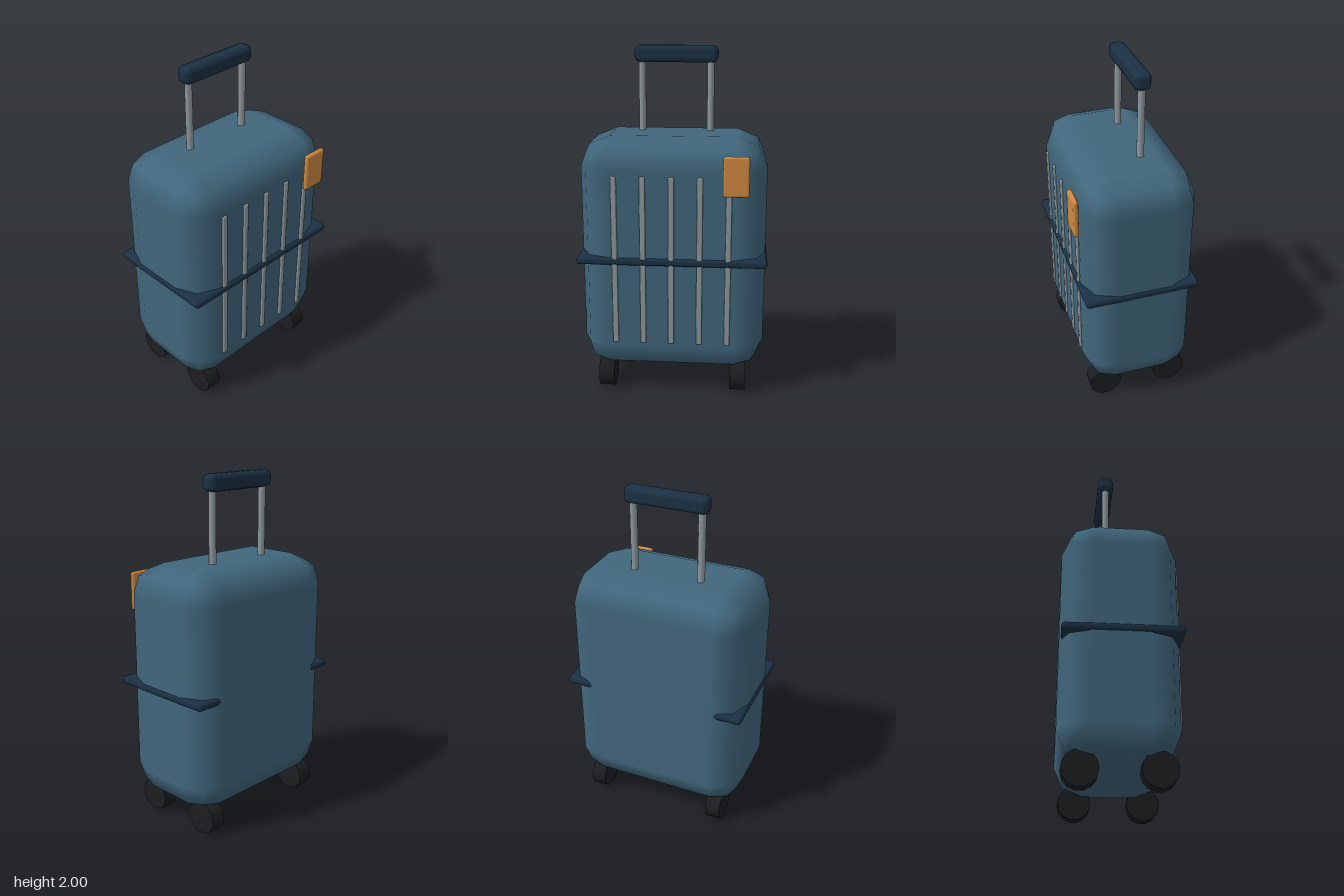
import * as THREE from 'three';

const mat = (color) => new THREE.MeshStandardMaterial({ color });

// Box with every edge rounded by two facets per quarter turn, smooth-shaded
function softBox(w, h, d, r) {
  const geo = new THREE.BoxGeometry(1, 1, 1, 3, 3, 3);
  const pos = geo.attributes.position, nor = geo.attributes.normal;
  const inner = new THREE.Vector3(w / 2 - r, h / 2 - r, d / 2 - r);
  const core = new THREE.Vector3(), dir = new THREE.Vector3();
  for (let i = 0; i < pos.count; i++) {
    const p = [pos.getX(i), pos.getY(i), pos.getZ(i)];
    core.set(...p.map(Math.sign)).multiply(inner);
    dir.set(...p.map((v) => (Math.abs(v) > 0.4 ? Math.sign(v) : 0))).normalize();
    nor.setXYZ(i, dir.x, dir.y, dir.z);
    core.addScaledVector(dir, r);
    pos.setXYZ(i, core.x, core.y, core.z);
  }
  return geo;
}

export function createModel() {
  const model = new THREE.Group();
  model.name = 'suitcase';
  const blue = mat(0x41677d), navy = mat(0x1b3144), metal = mat(0x8e999e);
  const orange = mat(0xd08a40), rubber = mat(0x1b1e20);

  const add = (name, geo, material, x, y, z) => {
    const mesh = new THREE.Mesh(geo, material);
    mesh.name = name;
    mesh.position.set(x, y, z);
    model.add(mesh);
    return mesh;
  };

  // Shell and the strap around it
  add('shell', softBox(1.06, 1.376, 0.65, 0.17), blue, 0, 0.825, -0.029);
  add('strap', softBox(1.08, 0.044, 0.658, 0.018), navy, 0, 0.823, -0.016);

  // Front ribs
  for (let i = -2; i <= 2; i++) {
    add('rib', softBox(0.033, 0.985, 0.018, 0.008), metal, i * 0.16, 0.823, 0.299);
  }

  // Luggage tag
  add('tag', softBox(0.144, 0.224, 0.03, 0.013), orange, 0.357, 1.328, 0.327);

  // Telescopic handle
  add('grip', softBox(0.48, 0.096, 0.092, 0.03), navy, 0, 1.952, -0.097);
  for (const side of [-1, 1]) {
    const name = side > 0 ? 'leftPole' : 'rightPole';
    add(name, new THREE.CylinderGeometry(0.021, 0.021, 0.55, 10), metal, side * 0.198, 1.66, -0.097);
  }

  // Wheels
  for (const side of [-1, 1]) {
    for (const z of [0.175, -0.23]) {
      const name = (z > 0 ? 'front' : 'back') + (side > 0 ? 'Left' : 'Right') + 'Wheel';
      const wheel = add(name, new THREE.CylinderGeometry(0.097, 0.097, 0.09, 14), rubber, side * 0.386, 0.097, z);
      wheel.rotation.z = Math.PI / 2;
    }
  }
  return model;
}
